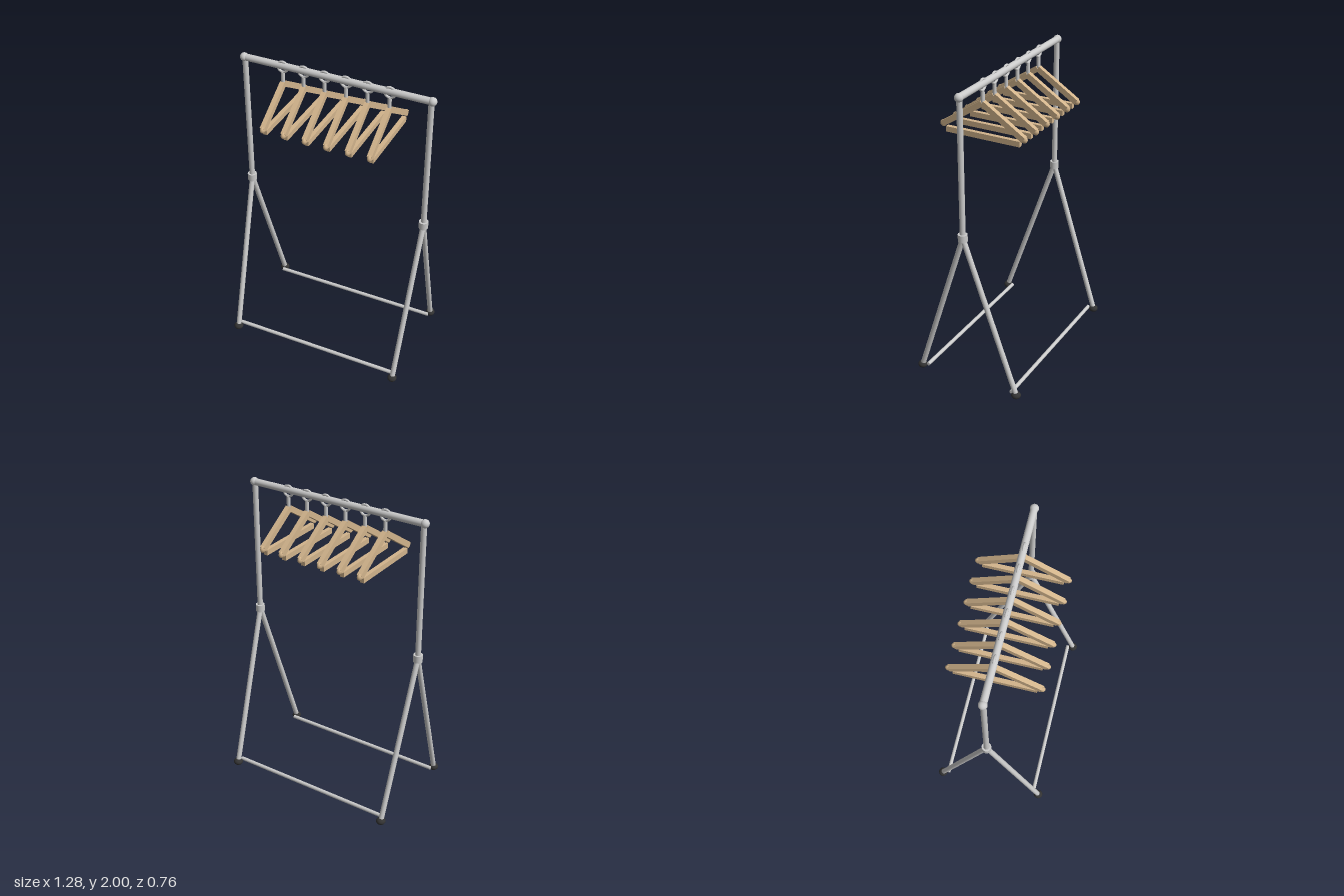
import * as THREE from 'three';

const metal = new THREE.MeshStandardMaterial({ color: 0xcccccc });
const wood = new THREE.MeshStandardMaterial({ color: 0xd2b48c });
const rubber = new THREE.MeshStandardMaterial({ color: 0x333333 });

function add(parent, name, geometry, material, x = 0, y = 0, z = 0) {
  const mesh = new THREE.Mesh(geometry, material);
  mesh.name = name;
  mesh.position.set(x, y, z);
  parent.add(mesh);
  return mesh;
}

// Round tube between two points
function rod(parent, name, a, b, radius) {
  const from = new THREE.Vector3(...a);
  const to = new THREE.Vector3(...b);
  const dir = to.clone().sub(from);
  const mesh = add(parent, name, new THREE.CylinderGeometry(radius, radius, dir.length(), 20), metal);
  mesh.position.copy(from).add(to).multiplyScalar(0.5);
  mesh.quaternion.setFromUnitVectors(new THREE.Vector3(0, 1, 0), dir.normalize());
  return mesh;
}

function createHanger(x) {
  const hanger = new THREE.Group();
  hanger.name = 'hanger';
  hanger.position.x = x;

  // Ring round the rail and the stem below it
  add(hanger, 'hookRing', new THREE.TorusGeometry(0.034, 0.008, 10, 28), metal, 0, 1.958, 0);
  rod(hanger, 'hookStem', [0, 1.84, 0], [0, 1.926, 0], 0.012);

  // Sloping arms with rounded tips
  const topY = 1.845, tipY = 1.668, tipZ = 0.275;
  const length = Math.hypot(tipZ, topY - tipY);
  for (const side of [1, -1]) {
    const arm = add(hanger, 'hangerArm', new THREE.BoxGeometry(0.031, 0.037, length), wood,
      0, (topY + tipY) / 2, side * tipZ / 2);
    arm.rotation.x = side * Math.atan2(topY - tipY, tipZ);
    const tip = add(hanger, 'hangerTip', new THREE.SphereGeometry(0.022, 16, 12), wood, 0, tipY, side * tipZ);
    tip.scale.x = 0.72;
  }

  // Trouser bar
  add(hanger, 'trouserBar', new THREE.BoxGeometry(0.028, 0.035, 0.502), wood, 0, 1.638, 0);
  return hanger;
}

export function createModel() {
  const rack = new THREE.Group();
  rack.name = 'clothesRack';
  const sideX = 0.607, railY = 1.965;

  rod(rack, 'topRail', [-sideX, railY, 0], [sideX, railY, 0], 0.022);

  for (const s of [1, -1]) {
    // Upright, its end ball and the collar where the legs meet
    add(rack, 'railEnd', new THREE.SphereGeometry(0.027, 20, 14), metal, s * 0.613, railY, 0);
    rod(rack, 'upright', [s * sideX, 1.05, 0], [s * sideX, railY, 0], 0.018);
    rod(rack, 'collar', [s * sideX, 1.05, 0], [s * sideX, 1.098, 0], 0.03);

    // Splayed legs and feet
    for (const f of [1, -1]) {
      rod(rack, 'leg', [s * sideX, 1.07, 0], [s * 0.58, 0.025, f * 0.35], 0.017);
      const foot = add(rack, 'foot', new THREE.SphereGeometry(0.031, 20, 14), rubber, s * 0.58, 0.024, f * 0.35);
      foot.scale.y = 0.77;
    }
  }

  // Low bars along the front and back
  for (const f of [1, -1]) {
    rod(rack, 'lowerBar', [-0.575, 0.03, f * 0.312], [0.575, 0.03, f * 0.312], 0.0125);
  }

  for (let i = 0; i < 6; i++) rack.add(createHanger(-0.35 + i * 0.14));
  return rack;
}
